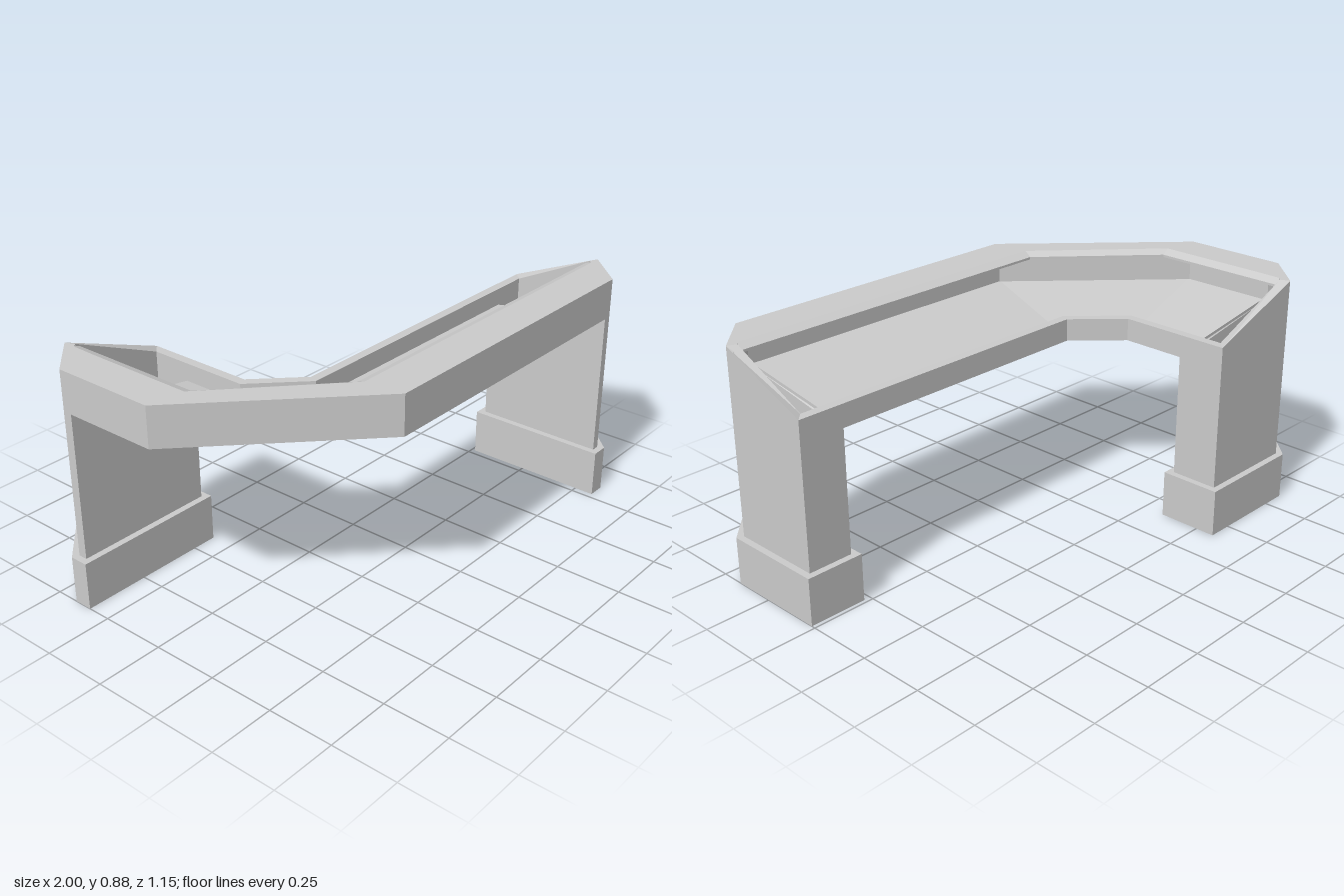
import * as THREE from 'three';

const material = new THREE.MeshStandardMaterial({ color: 0xcccccc, flatShading: true });
const WALL = 0.035;
const RIM_HIGH = 0.88, RIM_LOW = 0.73;      // outer and inner top edges
const BASE_HIGH = 0.73, BASE_LOW = 0.645;   // outer and inner bottom edges

// Joins equal-sized loops of [x, y, z]; open lofts get end caps, faces turned outward.
function loft(sections, closed = false) {
  const tris = [];
  const n = sections[0].length;
  const spans = closed ? sections.length : sections.length - 1;
  for (let i = 0; i < spans; i++) {
    const a = sections[i], b = sections[(i + 1) % sections.length];
    for (let j = 0; j < n; j++) {
      const k = (j + 1) % n;
      tris.push([a[j], b[j], b[k]], [a[j], b[k], a[k]]);
    }
  }
  if (!closed) {
    const a = sections[0], b = sections[sections.length - 1];
    for (let j = 1; j < n - 1; j++) tris.push([a[0], a[j], a[j + 1]], [b[0], b[j + 1], b[j]]);
  }
  const v = tris.map(t => t.map(p => new THREE.Vector3(...p)));
  const volume = v.reduce((sum, [a, b, c]) => sum + a.dot(b.clone().cross(c)), 0);
  const points = v.flatMap(([a, b, c]) => (volume < 0 ? [a, c, b] : [a, b, c]));
  const geometry = new THREE.BufferGeometry().setFromPoints(points);
  geometry.computeVertexNormals();
  return geometry;
}

// Moves each edge of a plan polygon inward by d (the closing edge by dLast).
function inset(pts, d, dLast = d) {
  const n = pts.length;
  const area = pts.reduce((s, [x, z], i) => {
    const q = pts[(i + 1) % n];
    return s + x * q[1] - q[0] * z;
  }, 0);
  const edge = i => {
    const p = pts[i], q = pts[(i + 1) % n];
    const dx = q[0] - p[0], dz = q[1] - p[1];
    const s = Math.sign(area) / Math.hypot(dx, dz);
    const nx = -dz * s, nz = dx * s;
    return [nx, nz, nx * p[0] + nz * p[1] + (i === n - 1 ? dLast : d)];
  };
  return pts.map((_, i) => {
    const [a, b, c] = edge((i + n - 1) % n), [e, f, g] = edge(i);
    const det = a * f - b * e;
    return [(c * f - b * g) / det, (a * g - c * e) / det];
  });
}

// Closed wall between two plan outlines, with a bottom and top height per corner.
function ring(outer, inner, bottom, top) {
  return loft(outer.map(([x, z], i) => {
    const [u, w] = inner[i];
    return [[x, top[i], z], [u, top[i], w], [u, bottom[i], w], [x, bottom[i], z]];
  }), true);
}

export function createModel() {
  const model = new THREE.Group();
  const add = (name, geometry, parent = model) => {
    const mesh = new THREE.Mesh(geometry, material);
    mesh.name = name;
    parent.add(mesh);
  };

  // Surrounding wall: high on the outside of the bend, low on the inside
  const outline = [
    [-0.43, -0.55], [-0.83, -0.55], [-0.975, -0.4], [-0.975, 0], [-0.41, 0.55],
    [0.83, 0.55], [0.975, 0.4], [0.975, 0.04], [-0.27, 0.04], [-0.43, -0.12],
  ];
  const isHigh = i => i >= 1 && i <= 6;
  add('basinWall', ring(outline, inset(outline, WALL),
    outline.map((_, i) => (isHigh(i) ? BASE_HIGH : BASE_LOW)),
    outline.map((_, i) => (isHigh(i) ? RIM_HIGH : RIM_LOW))));

  // Broad flat shelf with a sloped inner lip: outer edge, bend line, lip edge
  const shelf = [
    [[-0.83, -0.55], [-0.83, -0.55], [-0.795, -0.55]],
    [[-0.975, -0.4], [-0.833, -0.4], [-0.795, -0.4]],
    [[-0.975, 0], [-0.833, 0.02], [-0.795, 0.01]],
    [[-0.41, 0.55], [-0.425, 0.4], [-0.415, 0.365]],
    [[0.83, 0.55], [0.83, 0.4], [0.83, 0.365]],
    [[0.975, 0.4], [0.975, 0.4], [0.975, 0.365]],
  ];
  add('rimShelf', loft(shelf.map(([o, m, l]) => [
    [o[0], RIM_HIGH, o[1]], [m[0], RIM_HIGH, m[1]], [l[0], 0.865, l[1]],
    [l[0], 0.856, l[1]], [o[0], 0.856, o[1]],
  ])));

  // Thin sloping floor between the two legs
  const floor = [
    [[0.8, 0.55], [0.8, 0.04]],
    [[-0.41, 0.55], [-0.27, 0.04]],
    [[-0.975, 0], [-0.43, -0.12]],
    [[-0.975, -0.365], [-0.43, -0.365]],
  ];
  add('basinFloor', loft(floor.map(([o, i]) => {
    const at = (t, lift) => [
      o[0] + (i[0] - o[0]) * t,
      BASE_HIGH + (BASE_LOW - BASE_HIGH) * t + lift,
      o[1] + (i[1] - o[1]) * t,
    ];
    return [at(0, 0), at(1, 0), at(0.96, 0.012), at(0.04, 0.012)];
  })));

  // Hollow legs with a thin panel facing the span, each in a plinth
  const legs = {
    leftLeg: [[0.8, 0.04], [0.975, 0.04], [0.975, 0.4], [0.83, 0.55], [0.8, 0.55]],
    rightLeg: [[-0.43, -0.365], [-0.43, -0.55], [-0.83, -0.55], [-0.975, -0.4], [-0.975, -0.365]],
  };
  for (const [name, plan] of Object.entries(legs)) {
    const leg = new THREE.Group();
    leg.name = name;
    model.add(leg);
    const ground = plan.map(() => 0);
    add('legWall', ring(plan, inset(plan, WALL, 0.006), ground,
      plan.map((_, i) => (i < 2 ? BASE_LOW : BASE_HIGH))), leg);
    add('plinth', ring(inset(plan, -0.025), plan, ground, plan.map(() => 0.18)), leg);
  }
  return model;
}
